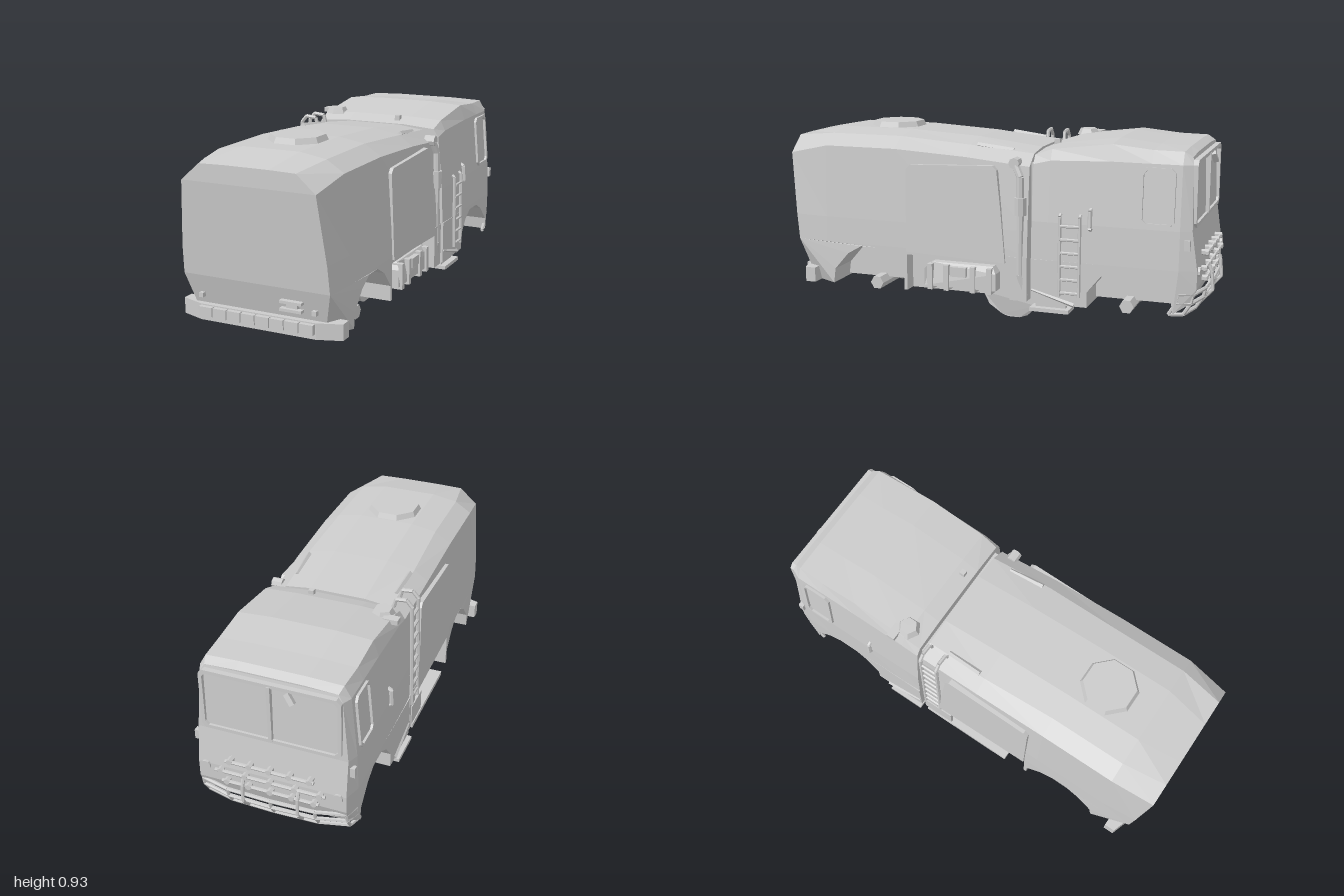
import * as THREE from 'three';

const mat = new THREE.MeshStandardMaterial({ color: 0xcccccc, flatShading: true, side: THREE.DoubleSide });

export function createModel() {
  const root = new THREE.Group();
  const add = (name, geo) => {
    const m = new THREE.Mesh(geo, mat);
    m.name = name;
    root.add(m);
    return m;
  };
  const box = (name, x0, x1, y0, y1, z0, z1) =>
    add(name, new THREE.BoxGeometry(Math.abs(x1 - x0), y1 - y0, z1 - z0)
      .translate((x0 + x1) / 2, (y0 + y1) / 2, (z0 + z1) / 2));
  const toShape = (pts) => new THREE.Shape(pts.map((p) => new THREE.Vector2(...p)));

  // Prism of a (z, y) outline from x0 to x1; warp(x, y, z) gives a new x
  const prism = (name, pts, x0, x1, warp = (x) => x) => {
    const g = new THREE.ExtrudeGeometry(toShape(pts), { depth: x1 - x0, bevelEnabled: false });
    g.rotateY(-Math.PI / 2).translate(x1, 0, 0);
    const p = g.attributes.position;
    for (let i = 0; i < p.count; i++) p.setX(i, warp(p.getX(i), p.getY(i), p.getZ(i)));
    g.computeVertexNormals();
    return add(name, g);
  };

  // Skin over mirrored half sections [x, y, z], ordered by rising z
  const loft = (name, halves) => {
    const n = halves[0].length * 2;
    const pos = halves.flatMap((h) => [...h, ...h.map(([x, y, z]) => [-x, y, z]).reverse()]).flat();
    const idx = [];
    for (let r = 0; r < halves.length - 1; r++) {
      for (let j = 0; j < n; j++) {
        const k = (j + 1) % n, a = r * n, b = a + n;
        idx.push(a + j, a + k, b + k, a + j, b + k, b + j);
      }
    }
    const e = (halves.length - 1) * n;
    for (let j = 0; j < n / 2 - 1; j++) {
      const a = j, b = j + 1, c = n - 2 - j, d = n - 1 - j;
      idx.push(a, c, b, a, d, c, e + a, e + b, e + c, e + a, e + c, e + d);
    }
    const g = new THREE.BufferGeometry();
    g.setAttribute('position', new THREE.Float32BufferAttribute(pos, 3));
    g.setIndex(idx);
    const flat = g.toNonIndexed();
    flat.computeVertexNormals();
    return add(name, flat);
  };
  const atZ = (z, ...pts) => pts.map(([x, y]) => [x, y, z]);

  // Bent pipe made of straight rods
  const pipe = (name, pts, r, sides = 6) => {
    for (let i = 0; i < pts.length - 1; i++) {
      const a = new THREE.Vector3(...pts[i]), d = new THREE.Vector3(...pts[i + 1]).sub(a);
      const m = add(name, new THREE.CylinderGeometry(r, r, d.length(), sides));
      m.position.copy(a).addScaledVector(d, 0.5);
      m.quaternion.setFromUnitVectors(new THREE.Vector3(0, 1, 0), d.normalize());
    }
  };

  // Frame with a chamfered opening, drawn in x, y
  const frameGeo = (w, h, t, depth) => {
    const ring = (a, b, c) => [[-a + c, -b], [a - c, -b], [a, -b + c], [a, b - c], [a - c, b], [-a + c, b], [-a, b - c], [-a, -b + c]];
    const s = toShape(ring(w, h, 0.02));
    s.holes.push(toShape(ring(w - t, h - t, 0.015)));
    return new THREE.ExtrudeGeometry(s, { depth, bevelEnabled: false }).translate(0, 0, -depth / 2);
  };

  // Long rear body
  loft('rearBody', [
    atZ(-0.2, [0.352, 0.38], [0.345, 0.5], [0.318, 0.785], [0.25, 0.835], [0.13, 0.85]),
    atZ(0.1, [0.355, 0.38], [0.35, 0.5], [0.326, 0.815], [0.26, 0.862], [0.13, 0.885]),
    atZ(0.45, [0.355, 0.38], [0.35, 0.5], [0.328, 0.835], [0.25, 0.885], [0.13, 0.905]),
    atZ(0.8, [0.355, 0.38], [0.35, 0.5], [0.328, 0.835], [0.25, 0.885], [0.13, 0.905]),
    [[0.34, 0.38, 0.955], [0.335, 0.5, 0.968], [0.305, 0.79, 1], [0.22, 0.865, 1], [0.1, 0.868, 1]],
  ]);
  prism('rearSkirt', [[0.955, 0.38], [0.8, 0.38], [-0.2, 0.38], [-0.2, 0.18], [-0.12, 0.18], [-0.12, 0.35], [0.385, 0.35],
    [0.385, 0.18], [0.4, 0.18], [0.4, 0.25], [0.47, 0.33], [0.54, 0.37], [0.62, 0.37], [0.69, 0.33], [0.76, 0.25], [0.77, 0.18], [0.9, 0.18]],
  -0.355, 0.355, (x, y, z) => (z > 0.82 ? Math.sign(x) * (0.34 - 0.25 * (0.38 - y)) : x));

  // Cab
  loft('cab', [
    [[0.335, 0.38, -0.955], [0.335, 0.55, -0.93], [0.31, 0.83, -0.922], [0.29, 0.862, -0.915], [0.15, 0.868, -0.915]],
    atZ(-0.88, [0.36, 0.38], [0.354, 0.55], [0.33, 0.83], [0.3, 0.883], [0.15, 0.888]),
    atZ(-0.75, [0.36, 0.38], [0.355, 0.55], [0.33, 0.83], [0.305, 0.885], [0.15, 0.892]),
    atZ(-0.57, [0.36, 0.38], [0.355, 0.55], [0.33, 0.83], [0.305, 0.902], [0.15, 0.912]),
    atZ(-0.3, [0.358, 0.38], [0.352, 0.55], [0.328, 0.82], [0.305, 0.868], [0.15, 0.876]),
    atZ(-0.22, [0.355, 0.38], [0.35, 0.55], [0.325, 0.8], [0.3, 0.838], [0.15, 0.85]),
  ]);
  prism('cabSkirt', [[-0.22, 0.38], [-0.88, 0.38], [-0.955, 0.38], [-0.955, 0.3], [-0.93, 0.235], [-0.86, 0.19],
    [-0.85, 0.25], [-0.77, 0.325], [-0.7, 0.36], [-0.6, 0.36], [-0.54, 0.325], [-0.48, 0.25], [-0.48, 0.18], [-0.22, 0.18]],
  -0.36, 0.36, (x, y, z) => (z < -0.9 ? Math.sign(x) * 0.335 : x));
  box('gapFiller', -0.29, 0.29, 0.18, 0.8, -0.23, -0.19);

  // Underbody, axles, drive shaft and underslung disc
  box('wheelWellCore', -0.2, 0.2, 0.19, 0.38, -0.86, 0.86);
  box('midUnderbody', -0.29, 0.29, 0.18, 0.36, -0.2, 0.39);
  for (const z of [0.58, -0.64]) {
    pipe('axle', [[-0.28, 0.178, z], [0.28, 0.178, z]], 0.033);
    add('differential', new THREE.SphereGeometry(0.06, 6, 4)).position.set(0, 0.185, z);
  }
  pipe('driveShaft', [[0, 0.165, -0.64], [0, 0.165, 0.58]], 0.018);
  prism('underslungDisc', [[0.14, 0.19], [0.12, 0.12], [0.09, 0.06], [0.03, 0.01], [0, 0], [-0.06, 0], [-0.1, 0.015],
    [-0.15, 0.07], [-0.18, 0.14], [-0.19, 0.19]], -0.057, 0.057,
  (x, y) => (y < 0.02 ? x * 0.7 : x));

  // Octagonal roof hatch
  add('roofHatch', new THREE.CylinderGeometry(0.118, 0.14, 0.045, 8).rotateY(Math.PI / 8).translate(0, 0.907, 0.575));

  // Rear bumper with ribbed centre
  const bumper = toShape([[-0.375, -0.86], [0.375, -0.86], [0.375, -0.91], [0.27, -0.945], [-0.27, -0.945], [-0.375, -0.91]]);
  add('rearBumper', new THREE.ExtrudeGeometry(bumper, { depth: 0.07, bevelEnabled: false }).rotateX(-Math.PI / 2).translate(0, 0.18, 0));
  for (let i = 0; i < 8; i++) {
    const x = -0.2695 + i * 0.0675;
    box('bumperStep', x, x + 0.063, 0.202, 0.245, 0.94, 0.965);
  }
  box('plateHolder', 0.14, 0.19, 0.285, 0.33, 0.93, 0.95);
  for (const y of [0.285, 0.318]) box('plateStrip', 0.115, 0.215, y, y + 0.012, 0.94, 0.965);

  for (const s of [-1, 1]) {
    box('rearLamp', s * 0.255, s * 0.275, 0.28, 0.3, 0.92, 0.95);

    // Raised side panel, leaning with the wall
    const lean = (x, y) => x - s * (y - 0.36) * 0.04;
    prism('sidePanel', [[0.385, 0.365], [0.385, 0.75], [0.365, 0.77], [-0.035, 0.785], [-0.055, 0.765], [-0.075, 0.6], [-0.1, 0.35]],
      s > 0 ? 0.3 : -0.365, s > 0 ? 0.365 : -0.3, lean);

    // Raised strips at the roof edge
    pipe('roofEdgeStrip', [[s * 0.24, 0.842, -0.1], [s * 0.25, 0.862, 0.07]], 0.012, 4);

    // Cab side window, handle and step
    const win = add('sideWindowFrame', frameGeo(0.075, 0.125, 0.012, 0.02));
    win.rotation.set(0, s * Math.PI / 2, s * 0.085, 'ZYX');
    win.position.set(s * 0.344, 0.69, -0.78);
    pipe('doorHandle', [[s * 0.35, 0.53, -0.49], [s * 0.365, 0.54, -0.49], [s * 0.36, 0.61, -0.49], [s * 0.34, 0.62, -0.49]], 0.01);
    box('cabStep', s * 0.28, s * 0.375, 0.145, 0.162, -0.4, -0.22);
    box('cabStepBracket', s * 0.325, s * 0.345, 0.16, 0.2, -0.38, -0.24);
    pipe('cabStepBrace', [[s * 0.355, 0.24, -0.225], [s * 0.36, 0.185, -0.42]], 0.01, 4);

    // Headlamp and corner marker
    add('headlamp', new THREE.CylinderGeometry(0.022, 0.022, 0.02, 10).rotateX(Math.PI / 2)).position.set(s * 0.3, 0.37, -0.955);
    box('cornerMarker', s * 0.335, s * 0.36, 0.47, 0.515, -0.925, -0.9);
  }

  // Cab ladder
  for (const z of [-0.355, -0.445]) {
    pipe('cabLadderRail', [[0.35, 0.59, z], [0.363, 0.58, z], [0.368, 0.225, z]], 0.008);
  }
  for (let i = 0; i < 6; i++) {
    pipe('cabLadderRung', [[0.367, 0.24 + i * 0.06, -0.355], [0.367, 0.24 + i * 0.06, -0.445]], 0.007);
  }

  // Side tank with straps
  prism('sideTank', [[0.3, 0.21], [0.3, 0.29], [0.27, 0.32], [-0.03, 0.32], [-0.05, 0.29], [-0.05, 0.21]], 0.28, 0.35,
    (x, y) => (x > 0.3 && y > 0.3 ? 0.33 : x));
  for (const z of [0.27, 0.19, 0.06, -0.02]) box('tankStrap', 0.3, 0.36, 0.195, 0.315, z - 0.012, z + 0.012);
  box('tankFitting', 0.33, 0.362, 0.265, 0.31, 0.09, 0.17);

  // Side step under the tall ladder
  box('sideStep', -0.365, -0.28, 0.18, 0.2, -0.18, 0.28);
  box('sideStepRiser', -0.36, -0.345, 0.2, 0.3, -0.18, -0.04);

  // Exhaust stack
  pipe('exhaustPipe', [[0.335, 0.2, -0.185], [0.345, 0.3, -0.165], [0.34, 0.74, -0.165], [0.33, 0.79, -0.14]], 0.017, 8);
  pipe('exhaustMuffler', [[0.34, 0.57, -0.165], [0.34, 0.65, -0.165]], 0.028, 8);
  pipe('exhaustCap', [[0.295, 0.8, -0.135], [0.345, 0.8, -0.135]], 0.025, 8);

  // Tall ladder hooking onto the roof
  for (const z of [-0.185, -0.1]) {
    pipe('tallLadderRail', [[-0.26, 0.83, z], [-0.27, 0.87, z], [-0.32, 0.875, z], [-0.345, 0.845, z], [-0.358, 0.32, z]], 0.009);
  }
  for (let i = 0; i < 8; i++) {
    const y = 0.36 + i * 0.062;
    pipe('tallLadderRung', [[-0.356 + i * 0.0015, y, -0.185], [-0.356 + i * 0.0015, y, -0.1]], 0.008);
  }

  // Windscreen frame and cab roof fittings
  add('windscreenFrame', frameGeo(0.31, 0.145, 0.016, 0.024)).position.set(0, 0.705, -0.929);
  box('windscreenPillar', -0.008, 0.008, 0.57, 0.84, -0.945, -0.92);
  pipe('wiperMotor', [[-0.08, 0.83, -0.94], [-0.11, 0.79, -0.95]], 0.016, 4);
  add('roofVent', new THREE.CylinderGeometry(0.04, 0.055, 0.03, 6)).position.set(-0.255, 0.88, -0.31);
  box('roofVentArm', -0.34, -0.27, 0.86, 0.882, -0.37, -0.33);
  box('roofLamp', 0.085, 0.11, 0.86, 0.885, -0.275, -0.25);

  // Lamp bars on the cab nose
  for (const [y, w] of [[0.43, 0.2], [0.37, 0.25], [0.32, 0.22]]) {
    pipe('lampBar', [[-w, y, -0.972], [w, y, -0.972]], 0.008);
    for (let i = 0; i < 5; i++) {
      const x = w * (-0.9 + i * 0.45);
      pipe('lampBracket', [[x, y, -0.93], [x, y, -0.98]], 0.014);
    }
  }

  // Tubular front guard, lower rail set back
  const plan = [[-0.35, -0.88], [-0.33, -0.94], [-0.2, -0.972], [0, -0.978], [0.2, -0.972], [0.33, -0.94], [0.35, -0.88]];
  const levels = [[0.275, 0], [0.235, 0.008], [0.185, 0.04]];
  for (const [y, back] of levels) pipe('frontGuardRail', plan.map(([x, z]) => [x, y, z + back]), 0.009);
  for (const [x, z] of plan) pipe('frontGuardPost', levels.map(([y, back]) => [x, y, z + back]), 0.008);
  for (const x of [-0.13, 0.12]) {
    pipe('frontGuardUpright', [[x, 0.19, -0.94], [x, 0.25, -0.992], [x, 0.33, -0.985], [x, 0.37, -0.97]], 0.008);
  }

  return root;
}
